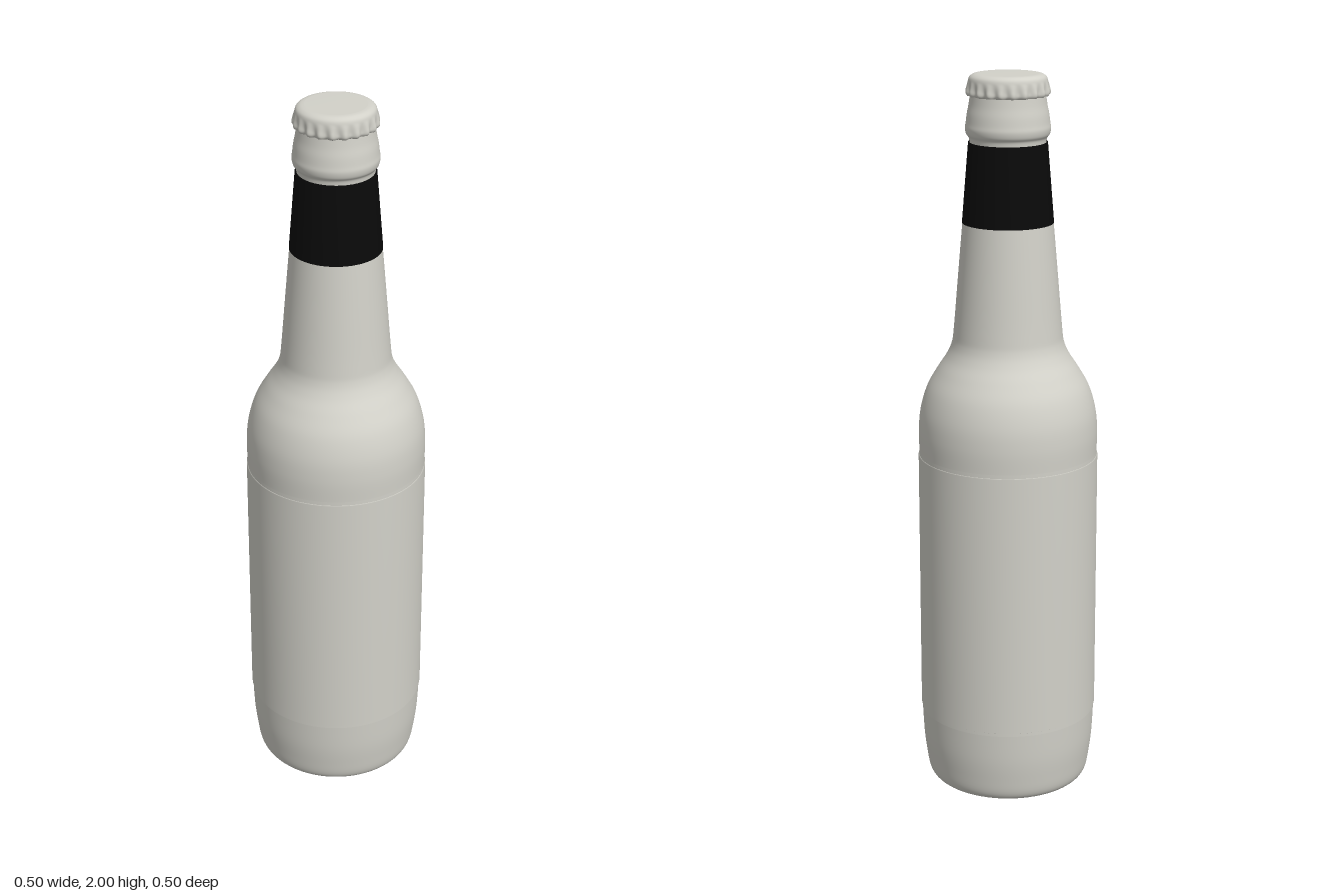
import * as THREE from 'three';

const glass = new THREE.MeshStandardMaterial({ color: 0xd2d1c9 });
glass.name = 'pale grey';
const black = new THREE.MeshStandardMaterial({ color: 0x0a0a0a });
black.name = 'black label';

const toPoints = (list) => list.map(([r, y]) => new THREE.Vector2(r, y));
const smooth = (list, n) => new THREE.SplineCurve(toPoints(list)).getPoints(n);

// Revolves a profile given from bottom to top
function turned(name, points, material, segments = 96) {
  const mesh = new THREE.Mesh(new THREE.LatheGeometry(points, segments), material);
  mesh.name = name;
  return mesh;
}

export function createModel() {
  const bottle = new THREE.Group();
  bottle.name = 'bottle';

  // Flat underside and rounded heel
  bottle.add(turned('base', toPoints([[0, 0.005], [0.17, 0.005], [0.19, 0]]), glass));
  bottle.add(turned('heel', smooth([
    [0.19, 0], [0.212, 0.005], [0.226, 0.025], [0.234, 0.07], [0.241, 0.13], [0.245, 0.21],
  ], 24), glass));

  // Straight body with a very slightly raised band
  bottle.add(turned('body', toPoints([[0.245, 0.21], [0.245, 0.97]]), glass));
  bottle.add(turned('bodyLabel', toPoints([
    [0.244, 0.218], [0.2475, 0.22], [0.2475, 0.958], [0.244, 0.96],
  ]), glass));

  // Shoulder flowing into the tapered neck
  bottle.add(turned('shoulderAndNeck', smooth([
    [0.245, 0.97], [0.246, 1.03], [0.24, 1.09], [0.222, 1.15], [0.194, 1.2], [0.168, 1.24],
    [0.153, 1.275], [0.147, 1.32], [0.135, 1.46], [0.122, 1.61], [0.103, 1.82],
  ], 60), glass));

  // Black band around the neck
  bottle.add(turned('neckLabel', toPoints([
    [0.121, 1.605], [0.1235, 1.605], [0.106, 1.82], [0.102, 1.82],
  ]), black));

  // Rounded ring and lip below the cap
  bottle.add(turned('lip', smooth([
    [0.102, 1.82], [0.104, 1.832], [0.111, 1.842], [0.114, 1.857], [0.112, 1.872],
    [0.109, 1.895], [0.104, 1.92], [0.1, 1.95],
  ], 32), glass));

  // Crown cap: the skirt flares out in regular flutes
  const teeth = 21;
  const cap = turned('crownCap', [
    ...toPoints([[0.098, 1.946]]),
    ...smooth([
      [0.105, 1.943], [0.109, 1.95], [0.108, 1.963], [0.106, 1.978], [0.102, 1.991], [0.092, 1.998],
      [0.08, 2],
    ], 24),
    ...toPoints([[0, 2]]),
  ], glass, teeth * 10);
  const pos = cap.geometry.attributes.position;
  for (let i = 0; i < pos.count; i++) {
    const x = pos.getX(i), y = pos.getY(i), z = pos.getZ(i);
    const r = Math.hypot(x, z);
    if (r < 0.09) continue;
    const fade = THREE.MathUtils.clamp((1.982 - y) / 0.025, 0, 1);
    const k = 1 + fade * 0.035 * Math.cos(teeth * Math.atan2(x, z));
    pos.setXYZ(i, x * k, y, z * k);
  }
  cap.geometry.computeVertexNormals();
  bottle.add(cap);

  return bottle;
}
